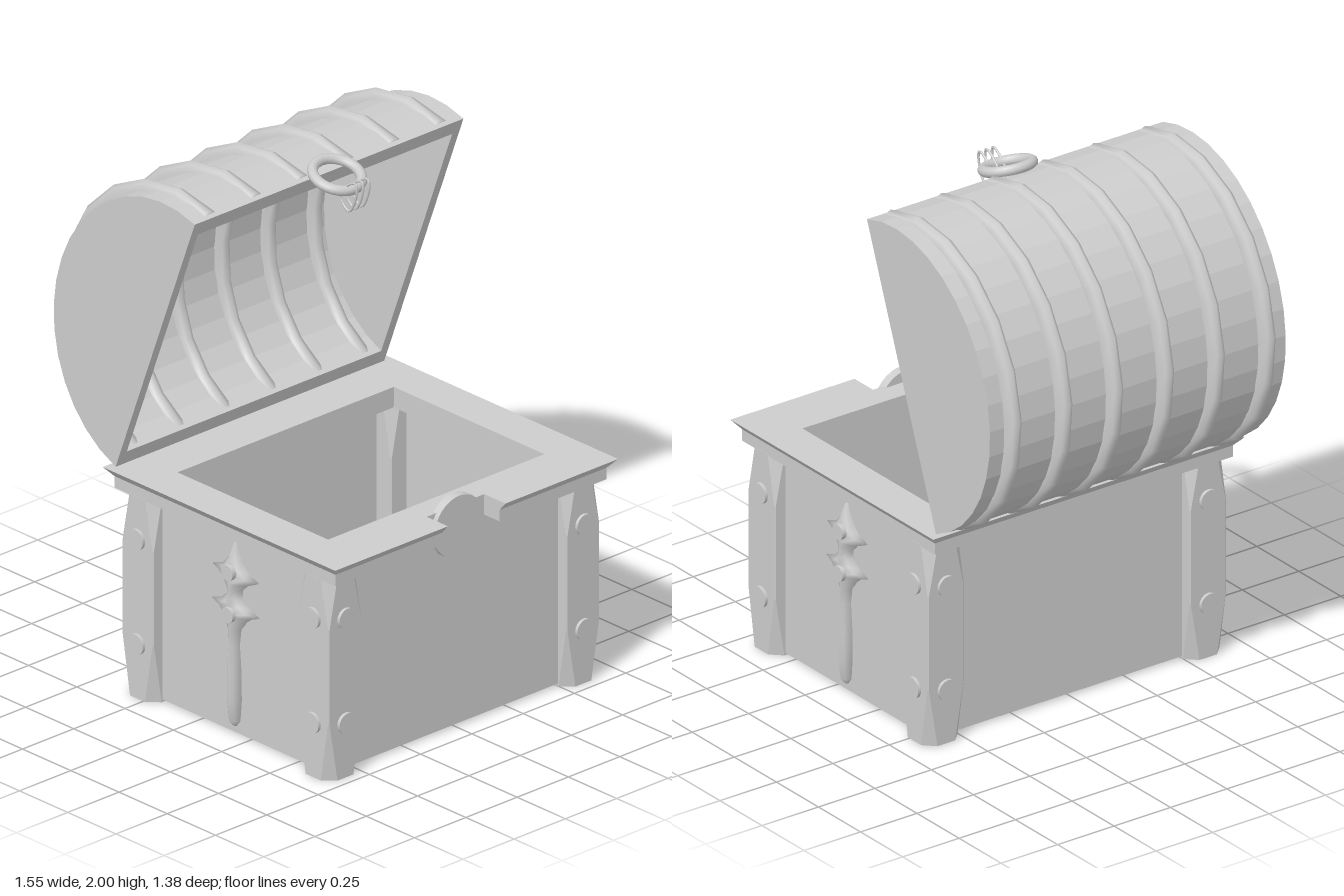
import * as THREE from 'three';

const grey = new THREE.MeshStandardMaterial({ color: 0xcccccc });
grey.name = 'stone grey';

function add(parent, name, geo, x = 0, y = 0, z = 0) {
  const m = new THREE.Mesh(geo, grey);
  m.name = name;
  m.position.set(x, y, z);
  parent.add(m);
  return m;
}

// Skin closed cross-sections, capped at both ends
function loft(rings, flat) {
  const n = rings[0].length, last = (rings.length - 1) * n, idx = [];
  for (let i = 0; i < rings.length - 1; i++)
    for (let j = 0; j < n; j++) {
      const a = i * n + j, b = i * n + (j + 1) % n;
      idx.push(a, b, b + n, a, b + n, a + n);
    }
  for (let j = 1; j < n - 1; j++) idx.push(0, j + 1, j, last, last + j, last + j + 1);
  let g = new THREE.BufferGeometry();
  g.setAttribute('position', new THREE.Float32BufferAttribute(rings.flat(2), 3));
  g.setIndex(idx);
  if (flat) g = g.toNonIndexed();
  g.computeVertexNormals();
  return g;
}

const polygon = (pts) => new THREE.Shape(pts.map((p) => new THREE.Vector2(p[0], p[1])));
const extrude = (shape, depth) => new THREE.ExtrudeGeometry(shape, { depth, bevelEnabled: false });

const CX = 0.175;      // centre of the box in x
const HX = 0.455;      // post centres from the box centre
const HZ = 0.58;

// Corner post whose edge chamfers widen toward top and bottom
function postGeometry() {
  const h = 0.081;
  return loft([[0, 0.042], [0.23, 0.004], [0.6, 0.004], [0.79, 0.042]].map(([y, c]) => {
    const k = h - c;
    return [[h, k], [h, -k], [k, -h], [-k, -h], [-h, -k], [-h, k], [-k, h], [k, h]].map(([x, z]) => [x, y, z]);
  }), true);
}

// Raised dagger-like ornament, lofted upward as a ridge
function ornamentGeometry() {
  const profile = [ // height, half width, relief
    [0.035, 0.006, 0.012], [0.06, 0.027, 0.035], [0.14, 0.034, 0.045], [0.25, 0.033, 0.045],
    [0.36, 0.024, 0.04], [0.42, 0.032, 0.04], [0.455, 0.06, 0.04], [0.475, 0.085, 0.04],
    [0.497, 0.137, 0.035], [0.515, 0.08, 0.04], [0.545, 0.042, 0.04], [0.575, 0.04, 0.04],
    [0.6, 0.065, 0.04], [0.632, 0.132, 0.035], [0.655, 0.07, 0.04], [0.69, 0.035, 0.035],
    [0.73, 0.016, 0.025], [0.76, 0.002, 0.01]];
  return loft(profile.map(([y, w, h]) => [
    [w, y, 0], [0, y, -0.01], [-w, y, 0], [-w / 2, y, h * 0.72], [0, y, h], [w / 2, y, h * 0.72]]));
}

// One layer of the rim: notched at the lock, open in the middle
function rimGeometry(depth, flare) {
  const x0 = -0.4, x1 = 0.745, z = 0.66, n = 0.14, nx = 0.665;
  const s = polygon([[x0, -z], [x1, -z], [x1, -n], [nx, -n], [nx, n], [x1, n], [x1, z], [x0, z]]);
  s.holes.push(polygon([[-0.215, -0.527], [-0.215, 0.527], [0.565, 0.527], [0.565, -0.527]]));
  const g = extrude(s, depth).rotateX(-Math.PI / 2);
  const p = g.attributes.position;
  for (let i = 0; i < p.count; i++) {
    if (p.getY(i) < depth / 2) continue;
    if (p.getX(i) > 0.7) p.setX(i, p.getX(i) + flare);
    if (p.getX(i) < -0.3) p.setX(i, p.getX(i) - flare);
    if (Math.abs(p.getZ(i)) > 0.6) p.setZ(i, p.getZ(i) + Math.sign(p.getZ(i)) * flare);
  }
  g.computeVertexNormals();
  return g;
}

// Points on the lid arch, in the lid's own plane
function arch(a, b, n) {
  return Array.from({ length: n + 1 }, (_, i) => {
    const t = Math.PI * i / n;
    return [0.58 - a * Math.cos(t), b * Math.sin(t)];
  });
}

// Band over the lid, bulging both outside and inside
function bandGeometry() {
  const rings = [], a = 0.553, b = 0.503;
  for (let i = 0; i <= 10; i++) {
    const t = 0.04 + (Math.PI - 0.08) * i / 10, s = Math.sin(t), c = Math.cos(t);
    const n = new THREE.Vector2(-c / a, s / b).normalize();
    const r = 0.036 + 0.038 * s, rz = 0.037 - 0.007 * s;
    rings.push(Array.from({ length: 10 }, (_, j) => {
      const f = j / 10 * Math.PI * 2, k = r * Math.cos(f);
      return [0.58 - a * c + n.x * k, b * s + n.y * k, rz * Math.sin(f)];
    }));
  }
  return loft(rings);
}

export function createModel() {
  const chest = new THREE.Group();
  chest.name = 'openChest';

  // Box: floor and four walls set back between the posts
  const box = new THREE.Group();
  box.name = 'box';
  chest.add(box);
  add(box, 'floor', new THREE.BoxGeometry(0.98, 0.04, 1.23), CX, 0.03, 0);
  for (const s of [-1, 1]) {
    add(box, 'endWall', new THREE.BoxGeometry(0.04, 0.78, 1.23), CX + s * 0.47, 0.4, 0);
    add(box, 'sideWall', new THREE.BoxGeometry(0.98, 0.78, 0.04), CX, 0.4, s * 0.595);
  }

  // Corner posts with rivets
  const post = postGeometry();
  const rivetZ = new THREE.CylinderGeometry(0.04, 0.04, 0.03, 16).rotateX(Math.PI / 2);
  const rivetX = new THREE.CylinderGeometry(0.04, 0.04, 0.03, 16).rotateZ(Math.PI / 2);
  for (const sx of [-1, 1]) for (const sz of [-1, 1]) {
    const x = CX + sx * HX, z = sz * HZ;
    add(box, 'cornerPost', post, x, 0, z);
    for (const y of [0.215, 0.625]) {
      add(box, 'rivet', rivetZ, x, y, z + sz * 0.078);
      add(box, 'rivet', rivetX, x + sx * 0.078, y, z);
    }
  }

  // Ornament with two studs on each side
  const ornament = ornamentGeometry();
  for (const s of [1, -1]) {
    const g = new THREE.Group();
    g.name = 'sideOrnament';
    g.position.set(0.18, 0, s * 0.61);
    g.rotation.y = s > 0 ? 0 : Math.PI;
    box.add(g);
    add(g, 'ornamentRidge', ornament);
    for (const y of [0.48, 0.645]) add(g, 'ornamentStud', rivetZ, 0, y, 0.034).scale.set(0.75, 0.75, 1);
  }

  // Rim and lock plate
  add(chest, 'lowerRim', rimGeometry(0.045, 0), 0, 0.785, 0);
  add(chest, 'upperRim', rimGeometry(0.035, 0.03), 0, 0.83, 0);
  add(chest, 'lockPlate', new THREE.CylinderGeometry(0.12, 0.12, 0.035, 32).rotateZ(Math.PI / 2), 0.667, 0.79, 0);

  // Lid, hinged at the back edge and swung open
  const lid = new THREE.Group();
  lid.name = 'lid';
  lid.position.set(-0.4, 0.865, 0);
  lid.rotation.z = Math.atan2(1.085, 0.41);
  chest.add(lid);
  const outer = arch(0.58, 0.518, 18);
  const shell = polygon([...outer, ...arch(0.52, 0.475, 18).reverse()]);
  add(lid, 'lidShell', extrude(shell, 1.25), 0, 0, -0.625);
  const endPanel = extrude(polygon(outer), 0.035);
  add(lid, 'lidEnd', endPanel, 0, 0, 0.62);
  add(lid, 'lidEnd', endPanel, 0, 0, -0.655);
  const band = bandGeometry();
  for (let i = 0; i < 6; i++) add(lid, 'lidBand', band, 0, 0, -0.5625 + i * 0.225);

  // Clasp ring with thin wire loops
  const ring = add(chest, 'claspRing',
    new THREE.TorusGeometry(0.09, 0.02, 10, 28).rotateX(Math.PI / 2), 0.052, 1.953, 0);
  ring.rotation.z = -0.31;
  const path = new THREE.CatmullRomCurve3(
    [[0.1, 1.895], [0.14, 1.95], [0.18, 1.968], [0.185, 1.93], [0.145, 1.85]]
      .map(([x, y]) => new THREE.Vector3(x, y, 0)), true);
  const wire = new THREE.TubeGeometry(path, 24, 0.005, 6, true);
  for (const z of [-0.03, 0, 0.03]) add(chest, 'claspWire', wire, 0, 0, z);

  return chest;
}
